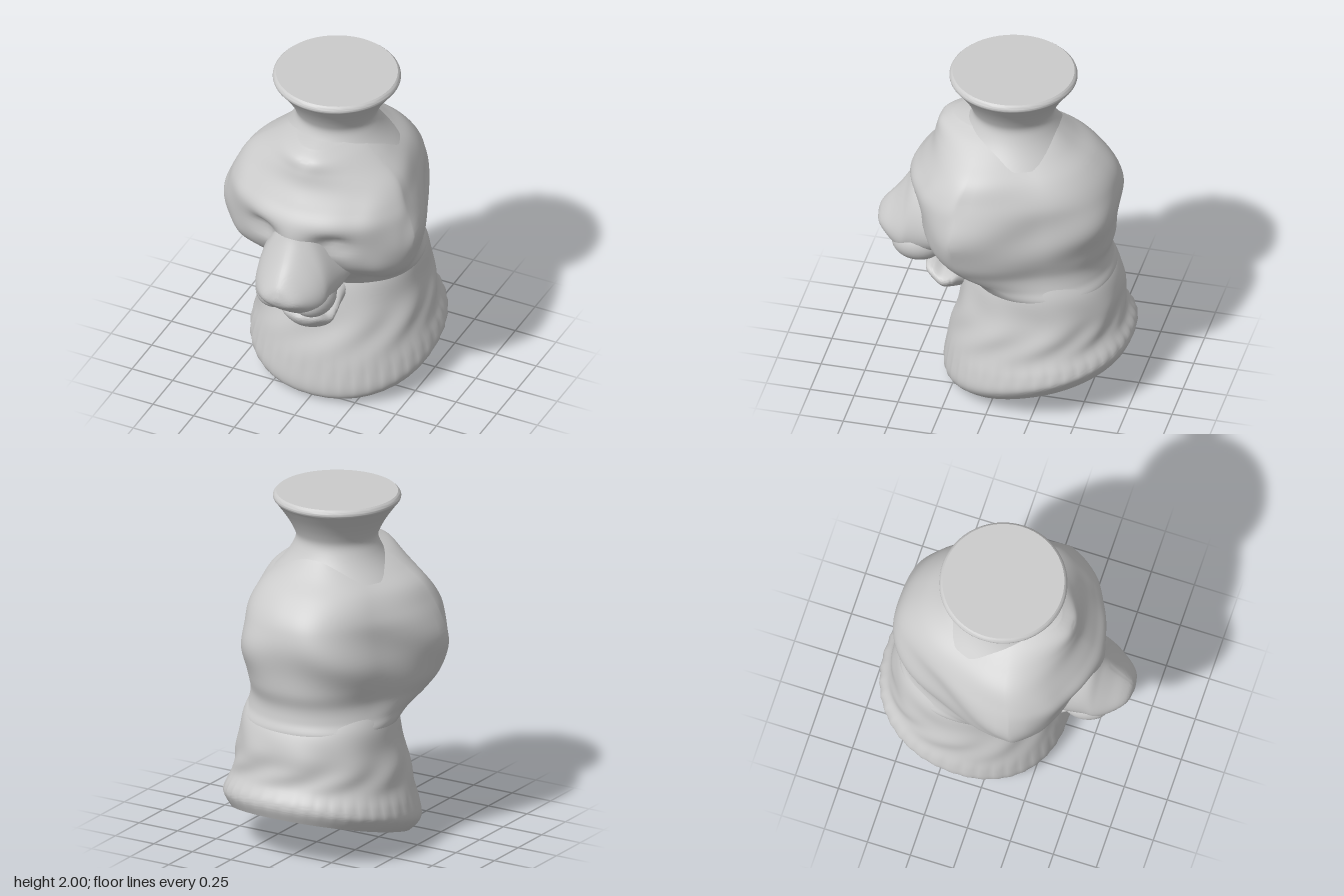
import * as THREE from 'three';
import { toCreasedNormals } from 'three/addons/utils/BufferGeometryUtils.js';

const clay = new THREE.MeshStandardMaterial({ color: 0xcccccc });
const { smoothstep } = THREE.MathUtils;

// Catmull-Rom through rows of numbers, giving a denser list of rows
function smoothRows(rows, steps) {
  const out = [];
  const last = rows.length - 1;
  for (let i = 0; i < last; i++) {
    const [p, q, r, s] = [rows[Math.max(i - 1, 0)], rows[i], rows[i + 1], rows[Math.min(i + 2, last)]];
    for (let k = 0; k < steps; k++) {
      const t = k / steps;
      out.push(q.map((b, n) => {
        const cubic = 3 * (b - r[n]) + s[n] - p[n];
        const square = 2 * p[n] - 5 * b + 4 * r[n] - s[n];
        return b + 0.5 * t * (r[n] - p[n] + t * (square + t * cubic));
      }));
    }
  }
  out.push(rows[last]);
  return out;
}

// Skin closed rings, each point given by point(row, angle), and cap both ends
function loft(rows, sides, steps, point) {
  const rings = smoothRows(rows, steps).map((row) =>
    Array.from({ length: sides }, (_, j) => point(row, (j / sides) * Math.PI * 2)));
  const pos = [], index = [];
  rings.forEach((ring) => ring.forEach((p) => pos.push(...p)));
  for (let i = 0; i < rings.length - 1; i++) {
    for (let j = 0; j < sides; j++) {
      const a = i * sides + j, b = i * sides + (j + 1) % sides;
      index.push(a, b, b + sides, a, b + sides, a + sides);
    }
  }
  [0, rings.length - 1].forEach((r, end) => {
    const centre = pos.length / 3;
    pos.push(...[0, 1, 2].map((n) => rings[r].reduce((sum, p) => sum + p[n], 0) / sides));
    for (let j = 0; j < sides; j++) {
      const a = r * sides + j, b = r * sides + (j + 1) % sides;
      index.push(centre, end ? a : b, end ? b : a);
    }
  });
  const geo = new THREE.BufferGeometry();
  geo.setAttribute('position', new THREE.Float32BufferAttribute(pos, 3));
  geo.setIndex(index);
  return toCreasedNormals(geo, 0.65);
}

const power = (v, n) => Math.sign(v) * Math.abs(v) ** (2 / n);
const bump = (d, width) => Math.exp(-((d / width) ** 2));

function addMesh(group, name, geo) {
  const mesh = new THREE.Mesh(geo, clay);
  mesh.name = name;
  group.add(mesh);
  return mesh;
}

// Tilted neck and ruffled base: centre y, front z, back z, half width, tilt
function neckGeometry() {
  const rows = [
    [0.135, 0.275, -0.695, 0.485, 0.278],
    [0.175, 0.325, -0.715, 0.52, 0.27],
    [0.22, 0.34, -0.72, 0.538, 0.24],
    [0.29, 0.33, -0.71, 0.525, 0.18],
    [0.38, 0.31, -0.67, 0.495, 0.14],
    [0.5, 0.27, -0.655, 0.475, 0.08],
    [0.62, 0.24, -0.65, 0.445, 0.04],
    [0.75, 0.2, -0.61, 0.43, 0],
    [0.84, 0.15, -0.54, 0.4, 0],
    [0.92, 0.1, -0.48, 0.36, 0],
  ];
  return loft(rows, 120, 5, ([y, zf, zb, hw, tilt], a) => {
    const ruffle = 1 + 0.009 * Math.sin(40 * a) * bump(y - 0.26, 0.07)
      + 0.014 * Math.sin(9 * a + 4 * Math.sin(8 * y)) * bump(y - 0.52, 0.13);
    const dz = power(Math.cos(a), 2.15) * (zf - zb) / 2 * ruffle;
    return [power(Math.sin(a), 2.15) * hw * ruffle, y - tilt * dz, (zf + zb) / 2 + dz];
  });
}

// Face relief, mirrored in x: x, y, width, height, depth
const relief = [
  [0, 1.14, 0.17, 0.17, 0.06],       // root of the muzzle
  [0.2, 1.19, 0.09, 0.06, -0.06],    // eye sockets
  [0.22, 1.18, 0.06, 0.03, 0.022],   // eyelids
  [0.22, 1.32, 0.13, 0.08, 0.02],    // brows
  [0.32, 1.02, 0.11, 0.11, 0.025],   // cheeks
  [0.41, 1.36, 0.08, 0.12, 0.02],    // mane tufts
  [0.44, 1.0, 0.07, 0.1, 0.02],      // side locks
  [0, 1.66, 0.05, 0.05, -0.015],     // parting
  [0.3, 0.86, 0.07, 0.08, -0.03],    // mouth corners
];

// Head and mane: y, front z, back z, half width, z of the widest point
function headGeometry() {
  const rows = [
    [0.66, 0.16, -0.58, 0.38, -0.2],
    [0.74, 0.2, -0.612, 0.43, -0.19],
    [0.81, 0.25, -0.59, 0.446, -0.06],
    [0.89, 0.33, -0.582, 0.49, 0.09],
    [0.99, 0.4, -0.61, 0.545, 0.16],
    [1.14, 0.475, -0.635, 0.575, 0.18],
    [1.3, 0.515, -0.63, 0.55, 0.17],
    [1.4, 0.475, -0.595, 0.515, 0.15],
    [1.5, 0.42, -0.5, 0.455, 0.12],
    [1.58, 0.4, -0.39, 0.355, 0.1],
    [1.65, 0.385, -0.31, 0.25, 0.08],
    [1.69, 0.31, -0.27, 0.17, 0.05],
  ];
  return loft(rows, 120, 6, ([y, zf, zb, hw, zm], a) => {
    const front = Math.cos(a) > 0;
    const mane = smoothstep(y, 0.76, 0.98);
    const n = front ? 2.1 - 0.42 * mane : 2.15 + 0.25 * mane;
    const fade = Math.min(1, Math.max(0, Math.cos(a) * 3));
    // wavy locks away from the face, and a narrower skull behind the mane
    const locks = 0.013 * (1 - fade) * bump(y - 1.2, 0.27)
      * (Math.sin(17 * y + 7 * Math.cos(a)) + Math.sin(6 * a + 9 * y));
    const skull = 1 - 0.13 * mane * smoothstep(-Math.cos(a), 0, 0.55);
    const x = power(Math.sin(a), n) * hw * skull * (1 + locks);
    let z = zm + power(Math.cos(a), n) * (front ? zf - zm : zm - zb) * (1 + locks);
    for (const [fx, fy, w, h, depth] of relief) {
      z += fade * depth * bump(Math.abs(x) - fx, w) * bump(y - fy, h);
    }
    return [x, y, z];
  });
}

// Pear-shaped rings along z: z, top y, bottom y, half width
function snoutGeometry(rows, pear) {
  return loft(rows, 64, 6, ([z, top, bottom, hw], a) => [
    hw * Math.cos(a) * (1 - pear * Math.sin(a)),
    (top + bottom) / 2 + Math.sin(a) * (top - bottom) / 2,
    z,
  ]);
}

export function createModel() {
  const group = new THREE.Group();
  group.name = 'lionHeadVessel';

  addMesh(group, 'neckAndBase', neckGeometry());
  addMesh(group, 'headAndMane', headGeometry());

  // Flared vessel mouth on top of the head
  const profile = smoothRows([
    [0.35, 1.55], [0.29, 1.62], [0.248, 1.685], [0.228, 1.745], [0.245, 1.8], [0.285, 1.87],
    [0.335, 1.94], [0.354, 1.965], [0.352, 1.985], [0.338, 2],
  ], 4).map(([r, y]) => new THREE.Vector2(r, y));
  profile.push(new THREE.Vector2(0, 2));
  const spout = addMesh(group, 'flaredSpout', toCreasedNormals(new THREE.LatheGeometry(profile, 64), 0.6));
  spout.position.z = -0.035;

  // Upper muzzle with the bridge of the nose
  addMesh(group, 'muzzle', snoutGeometry([
    [0.15, 1.28, 0.82, 0.27],
    [0.3, 1.32, 0.82, 0.25],
    [0.4, 1.33, 0.77, 0.225],
    [0.5, 1.32, 0.745, 0.205],
    [0.56, 1.21, 0.75, 0.195],
    [0.62, 1.115, 0.79, 0.165],
    [0.68, 1.04, 0.845, 0.12],
    [0.715, 0.99, 0.88, 0.075],
    [0.73, 0.945, 0.915, 0.015],
  ], 0.45));

  // Rounded lips and nose pad
  for (const side of [1, -1]) {
    const lip = addMesh(group, side > 0 ? 'leftLip' : 'rightLip', new THREE.SphereGeometry(1, 32, 20));
    lip.scale.set(0.12, 0.11, 0.15);
    lip.position.set(side * 0.11, 0.84, 0.48);
  }
  const nose = addMesh(group, 'nosePad', new THREE.SphereGeometry(1, 32, 16));
  nose.scale.set(0.11, 0.06, 0.07);
  nose.position.set(0, 0.935, 0.655);

  // Open lower jaw
  addMesh(group, 'lowerJaw', snoutGeometry([
    [0.1, 0.84, 0.53, 0.17],
    [0.22, 0.77, 0.525, 0.155],
    [0.28, 0.685, 0.515, 0.15],
    [0.34, 0.645, 0.51, 0.145],
    [0.4, 0.665, 0.545, 0.12],
    [0.44, 0.665, 0.585, 0.085],
    [0.46, 0.64, 0.62, 0.015],
  ], -0.3));

  return group;
}
